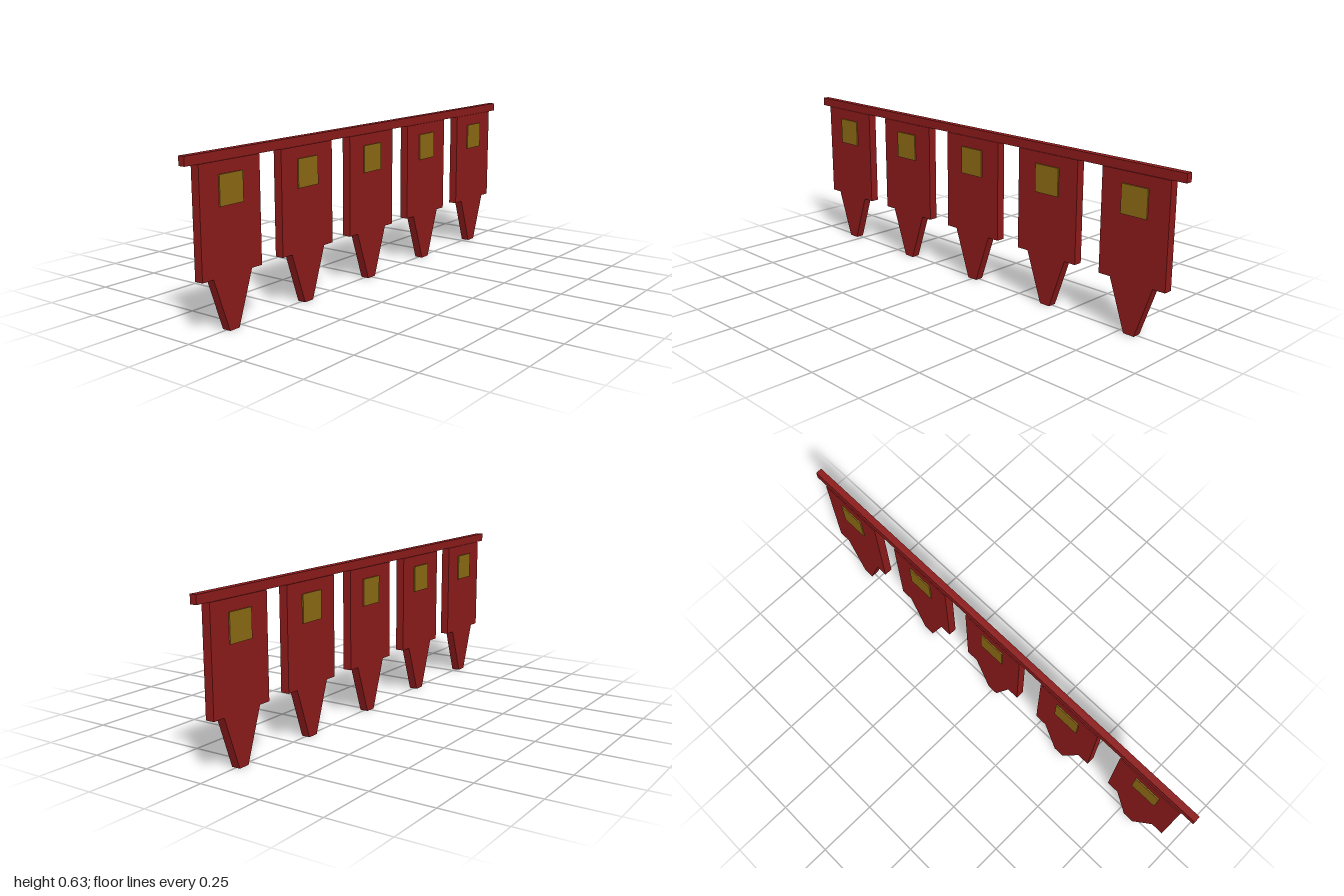
import * as THREE from 'three';

const red = new THREE.MeshStandardMaterial({ color: 0x8b1a1a });
red.name = 'banner red';
const gold = new THREE.MeshStandardMaterial({ color: 0x8b6914 });
gold.name = 'old gold';

const BANNERS = 5, SPACING = 0.4, CLOTH = 0.035, PLATE = 0.005;

function add(parent, name, geometry, material, x = 0, y = 0, z = 0) {
  const mesh = new THREE.Mesh(geometry, material);
  mesh.name = name;
  mesh.position.set(x, y, z);
  parent.add(mesh);
}

// Square cloth with a narrower tapering tail
function clothGeometry() {
  const half = [[0.023, 0], [0.093, 0.2], [0.144, 0.2], [0.144, 0.6]];
  const outline = [...half, ...half.map(([x, y]) => [-x, y]).reverse()];
  const shape = new THREE.Shape(outline.map(([x, y]) => new THREE.Vector2(x, y)));
  return new THREE.ExtrudeGeometry(shape, { depth: CLOTH, bevelEnabled: false })
    .translate(0, 0, -CLOTH / 2);
}

export function createModel() {
  const model = new THREE.Group();
  model.name = 'bannerRow';

  // Rail that carries the banners
  add(model, 'rail', new THREE.BoxGeometry(2, 0.034, 0.027), red, 0, 0.617, 0);

  const cloth = clothGeometry();
  const patch = new THREE.BoxGeometry(0.112, 0.11, PLATE);
  for (let i = 0; i < BANNERS; i++) {
    const banner = new THREE.Group();
    banner.name = `banner${i + 1}`;
    banner.position.x = (i - (BANNERS - 1) / 2) * SPACING;
    add(banner, 'cloth', cloth, red);
    // Gold patch on each face
    for (const [name, side] of [['frontPatch', 1], ['backPatch', -1]]) {
      add(banner, name, patch, gold, 0, 0.5, side * (CLOTH + PLATE) / 2);
    }
    model.add(banner);
  }
  return model;
}
